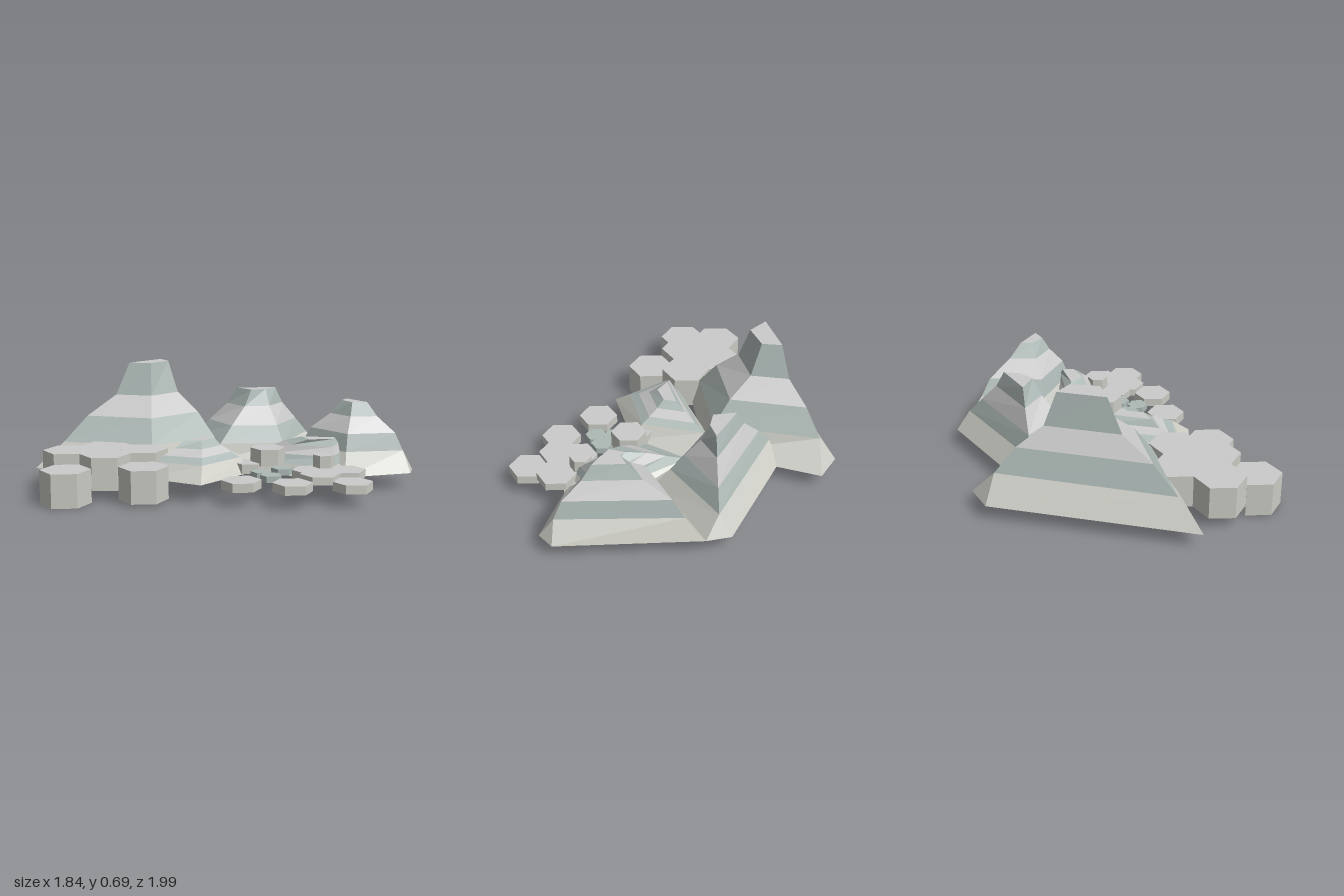
import * as THREE from 'three';

const mat = (color) => new THREE.MeshStandardMaterial({ color, flatShading: true, side: THREE.DoubleSide });
const grey = mat(0xcccccc), sand = mat(0xcdcdc6), green = mat(0xaebab7);

function part(name, geometry, material) {
  const mesh = new THREE.Mesh(geometry, material);
  mesh.name = name;
  return mesh;
}

function fromPositions(pos) {
  const geo = new THREE.BufferGeometry();
  geo.setAttribute('position', new THREE.Float32BufferAttribute(pos, 3));
  geo.computeVertexNormals();
  return geo;
}

// Strip of faces between two outlines of equal length
function band(low, lowY, high, highY) {
  const pos = [];
  low.forEach((p, i) => {
    const j = (i + 1) % low.length;
    const a = [p[0], lowY, p[1]], b = [low[j][0], lowY, low[j][1]];
    const c = [high[i][0], highY, high[i][1]], d = [high[j][0], highY, high[j][1]];
    pos.push(...b, ...a, ...c);
    if (high[i] !== high[j]) pos.push(...b, ...c, ...d);
  });
  return fromPositions(pos);
}

function flatTop(ring, y) {
  return fromPositions([0, 2, 1, 0, 3, 2].flatMap((i) => [ring[i][0], y, ring[i][1]]));
}

// Layered mountain. Outlines are [x, z] corners, clockwise seen from above. The foot has one
// cut corner more than the ring above it; the middle rings lie between shoulder and summit.
function mountain(name, cut, heights, spread, foot, shoulder, summit) {
  const group = new THREE.Group();
  group.name = name;
  const between = (t) => shoulder.map(([x, z], i) => [
    THREE.MathUtils.lerp(x, summit[i][0], t), THREE.MathUtils.lerp(z, summit[i][1], t)]);
  const rings = [shoulder, ...spread.map(between), summit];
  const doubled = [...shoulder.slice(0, cut + 1), ...shoulder.slice(cut)];
  group.add(part('foot', band(foot, heights[0], doubled, heights[1]), sand));
  for (let i = 0; i < 3; i++) {
    group.add(part('stratum', band(rings[i], heights[i + 1], rings[i + 1], heights[i + 2]), i % 2 ? grey : green));
  }
  group.add(part('summit', flatTop(summit, heights[4]), grey));
  return group;
}

// Hexagonal columns of one size, open below, at [x, z] centres
const TURN = THREE.MathUtils.degToRad(8);
function columns(name, bottom, top, radius, side, lid, centres) {
  const group = new THREE.Group();
  group.name = name;
  const wall = new THREE.CylinderGeometry(radius, radius, top - bottom, 6, 1, true);
  wall.rotateY(Math.PI / 2 - TURN).translate(0, (top + bottom) / 2, 0);
  const cover = new THREE.CircleGeometry(radius, 6);
  cover.rotateX(-Math.PI / 2).rotateY(-TURN).translate(0, top, 0);
  for (const [x, z] of centres) {
    const column = new THREE.Group();
    column.name = 'hexColumn';
    column.add(part('wall', wall, side), part('lid', cover, lid));
    column.position.set(x, 0, z);
    group.add(column);
  }
  return group;
}

// Centre of the neighbour of a honeycomb cell, counted in sixths of a turn
function neighbour([x, z], spacing, sixth) {
  const a = TURN + Math.PI / 6 + sixth * Math.PI / 3;
  return [x + spacing * Math.cos(a), z + spacing * Math.sin(a)];
}

export function createModel() {
  const model = new THREE.Group();
  model.name = 'rockyLandscape';

  // Mountains
  model.add(mountain('tallMountain', 0, [0.09, 0.24, 0.385, 0.5, 0.69], [0.35, 0.79],
    [[-0.92, -0.44], [-0.8, -0.58], [-0.2, -0.26], [-0.22, 0.33], [-0.79, 0.72]],
    [[-0.82, -0.43], [-0.25, -0.22], [-0.26, 0.26], [-0.72, 0.56]],
    [[-0.65, -0.13], [-0.54, -0.1], [-0.51, 0.06], [-0.62, 0.14]]));
  model.add(mountain('backMountain', 1, [0.09, 0.2, 0.3, 0.41, 0.51], [0.36, 0.78],
    [[-0.66, -0.33], [-0.2, -0.99], [-0.06, -1], [0.15, -0.52], [-0.22, -0.16]],
    [[-0.56, -0.33], [-0.14, -0.93], [0.05, -0.52], [-0.2, -0.23]],
    [[-0.32, -0.48], [-0.17, -0.67], [-0.155, -0.57], [-0.19, -0.48]]));
  model.add(mountain('cornerMountain', 1, [0.09, 0.21, 0.31, 0.4, 0.48], [0.22, 0.72],
    [[-0.06, -1], [0.73, -0.915], [0.79, -0.82], [0.61, -0.45], [0.12, -0.5]],
    [[0.04, -0.94], [0.71, -0.845], [0.52, -0.56], [0.16, -0.57]],
    [[0.32, -0.79], [0.495, -0.77], [0.44, -0.7], [0.34, -0.72]]));
  model.add(mountain('lowMountain', 1, [0.09, 0.15, 0.2, 0.25, 0.285], [0.35, 0.67],
    [[-0.1, -0.36], [0.45, -0.69], [0.64, -0.57], [0.62, -0.34], [0.12, -0.16]],
    [[-0.07, -0.38], [0.47, -0.62], [0.57, -0.38], [0.14, -0.2]],
    [[0.28, -0.44], [0.43, -0.56], [0.46, -0.5], [0.37, -0.4]]));
  model.add(mountain('frontMountain', 0, [0.105, 0.19, 0.22, 0.255, 0.295], [0.33, 0.7],
    [[-0.26, -0.22], [-0.07, -0.36], [0.2, -0.1], [0.25, 0.33], [-0.1, 0.45]],
    [[-0.2, -0.21], [0.14, -0.07], [0.17, 0.25], [-0.1, 0.38]],
    [[-0.07, -0.02], [0, 0.01], [0.02, 0.12], [-0.05, 0.19]]));

  // Tall columns at the front, packed as a honeycomb
  const hub = [-0.23, 0.62];
  const cells = (...sixths) => sixths.map((s) => neighbour(hub, 0.246, s));
  model.add(columns('tallColumns', 0.065, 0.25, 0.142, sand, grey, [hub, ...cells(2, 3, 4)]));
  model.add(columns('middleColumn', 0.015, 0.2, 0.138, sand, grey, cells(5)));
  model.add(columns('frontColumn', 0, 0.19, 0.141, sand, grey, cells(1)));

  // Low stones on the model's left
  const stone = [0.635, -0.207];
  const around = (...sixths) => sixths.map((s) => neighbour(stone, 0.19, s));
  model.add(columns('upperStones', 0.11, 0.155, 0.113, sand, grey, [stone, ...around(4), [0.535, -0.25]]));
  model.add(columns('lowerStones', 0.08, 0.13, 0.112, sand, grey, [...around(5, 1), [0.375, 0.145]]));
  model.add(columns('raisedStone', 0.15, 0.245, 0.1, sand, grey, [[0.235, -0.2]]));
  model.add(columns('sideStone', 0.11, 0.165, 0.09, sand, grey, [[0.18, -0.1]]));
  model.add(columns('smallStone', 0.13, 0.225, 0.062, sand, grey, [[0.525, -0.36]]));
  model.add(columns('greenStone', 0.12, 0.155, 0.063, green, green, [[0.385, -0.165]]));
  model.add(columns('lowGreenStones', 0.1, 0.135, 0.061, green, green, [[0.31, -0.075], [0.41, -0.05]]));
  return model;
}
